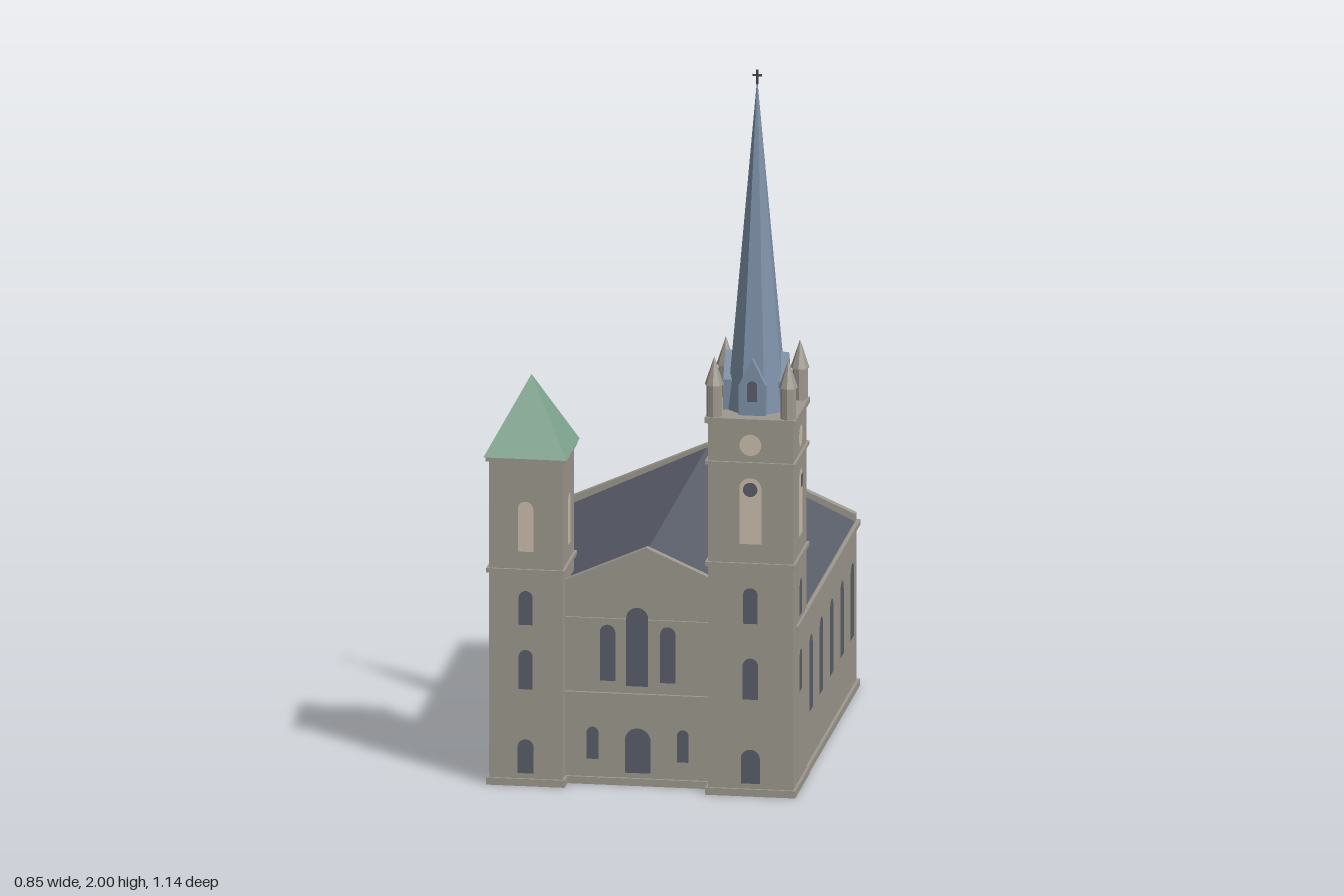
import * as THREE from 'three';

const mat = (name, color, flat = true) => {
  const m = new THREE.MeshStandardMaterial({ color, side: THREE.DoubleSide, flatShading: flat });
  m.name = name;
  return m;
};

export function createModel() {
  const stone = mat('stone', 0x9e998f);
  const slate = mat('slate', 0x595d68);
  const glass = mat('darkGlass', 0x5a5f6b);
  const blue = mat('spireBlue', 0x8093aa);
  const copper = mat('copperGreen', 0x7fa590);
  const cream = mat('cream', 0xcdbfae);
  const iron = mat('iron', 0x3f434c);

  const model = new THREE.Group();
  model.name = 'church';

  const add = (parent, name, geo, material, x = 0, y = 0, z = 0) => {
    const m = new THREE.Mesh(geo, material);
    m.name = name;
    m.position.set(x, y, z);
    parent.add(m);
    return m;
  };
  const group = (parent, name, x = 0, z = 0) => {
    const g = new THREE.Group();
    g.name = name;
    g.position.set(x, 0, z);
    parent.add(g);
    return g;
  };

  // four walls without floor or ceiling
  const walls = (parent, name, w, h, d) => {
    const geo = new THREE.BoxGeometry(w, h, d);
    const i = Array.from(geo.index.array);
    geo.setIndex([...i.slice(0, 12), ...i.slice(24)]);
    geo.clearGroups();
    return add(parent, name, geo, stone, 0, h / 2, 0);
  };
  // projecting ring around a rectangular wall
  const rect = (T, w, d) => {
    const s = new T();
    s.moveTo(-w / 2, -d / 2);
    s.lineTo(w / 2, -d / 2);
    s.lineTo(w / 2, d / 2);
    s.lineTo(-w / 2, d / 2);
    s.closePath();
    return s;
  };
  const band = (parent, name, w, d, y, h, out) => {
    const s = rect(THREE.Shape, w + 2 * out, d + 2 * out);
    s.holes.push(rect(THREE.Path, w - 0.004, d - 0.004));
    const geo = new THREE.ExtrudeGeometry(s, { depth: h, bevelEnabled: false });
    geo.rotateX(-Math.PI / 2);
    return add(parent, name, geo, stone, 0, y, 0);
  };
  // round-headed opening laid flat on a wall facing +z
  const arch = (parent, name, x, y0, y1, r, z, material = glass) => {
    const s = new THREE.Shape();
    s.moveTo(-r, y0);
    s.lineTo(r, y0);
    s.lineTo(r, y1 - r);
    s.absarc(0, y1 - r, r, 0, Math.PI, false);
    s.closePath();
    return add(parent, name, new THREE.ShapeGeometry(s, 8), material, x, 0, z);
  };
  const disc = (parent, name, y, r, z, material) =>
    add(parent, name, new THREE.CircleGeometry(r, 20), material, 0, y, z);
  // repeat a detail on all four sides
  const onSides = (parent, name, fn) => {
    for (let i = 0; i < 4; i++) {
      const g = group(parent, name);
      g.rotation.y = i * Math.PI / 2;
      fn(g, i);
    }
  };

  // ---- nave ----
  const W = 0.81, D = 1.06;
  const nave = group(model, 'nave', 0.006, -0.03);
  walls(nave, 'naveWalls', W, 0.47, D);
  band(nave, 'navePlinth', W, D, 0, 0.02, 0.008);
  band(nave, 'naveCornice', W, D, 0.452, 0.014, 0.01);

  for (const side of [1, -1]) {
    const g = group(nave, 'sideWindows');
    g.rotation.y = side * Math.PI / 2;
    for (let i = 0; i < 5; i++) {
      const z = 0.275 - i * 0.179;
      arch(g, 'naveWindow', -side * z, 0.16, 0.37, 0.03, W / 2 + 0.003);
    }
  }

  // pitched roof, open underneath
  const roof = new THREE.BufferGeometry();
  const rz = D / 2 - 0.01, rx = W / 2, ry = 0.466, rt = 0.656;
  roof.setAttribute('position', new THREE.Float32BufferAttribute([
    -rx, ry, -rz, -rx, ry, rz, 0, rt, rz, 0, rt, -rz,
    rx, ry, rz, rx, ry, -rz, 0, rt, -rz, 0, rt, rz], 3));
  roof.setIndex([0, 1, 2, 0, 2, 3, 4, 5, 6, 4, 6, 7]);
  roof.computeVertexNormals();
  add(nave, 'naveRoof', roof, slate);

  // gable parapets
  const gable = new THREE.Shape([[-rx, 0.46], [rx, 0.46], [rx, 0.487], [0, 0.666], [-rx, 0.487]]
    .map(p => new THREE.Vector2(...p)));
  for (const z of [D / 2 - 0.018, -D / 2 - 0.004])
    add(nave, 'gable', new THREE.ExtrudeGeometry(gable, { depth: 0.022, bevelEnabled: false }), stone, 0, 0, z);

  // entrance front between the towers
  const front = group(model, 'entranceFront', -0.018, 0.5);
  arch(front, 'mainDoor', 0, 0.035, 0.16, 0.035, 0.004);
  arch(front, 'tallWindow', 0, 0.28, 0.5, 0.03, 0.0125);
  for (const s of [1, -1]) {
    arch(front, 'sideDoor', s * 0.123, 0.07, 0.16, 0.016, 0.004);
    arch(front, 'frontWindow', s * 0.082, 0.29, 0.447, 0.021, 0.004);
  }
  add(front, 'frontString', new THREE.BoxGeometry(0.4, 0.01, 0.012), stone, 0, 0.252, 0.003);

  // ---- low tower with pyramid roof ----
  const low = group(model, 'lowTower', -0.316, 0.449);
  const lw = 0.2;
  walls(low, 'lowTowerWalls', lw, 0.915, lw);
  band(low, 'lowTowerPlinth', lw, lw, 0, 0.02, 0.007);
  band(low, 'lowTowerString', lw, lw, 0.594, 0.012, 0.007);
  band(low, 'lowTowerCornice', lw, lw, 0.904, 0.014, 0.008);
  const pyramid = new THREE.ConeGeometry(0.1135 * Math.SQRT2, 0.207, 4);
  pyramid.rotateY(Math.PI / 4);
  add(low, 'pyramidRoof', pyramid, copper, 0, 0.917 + 0.1035, 0);
  onSides(low, 'lowTowerFace', (g, i) => {
    const z = lw / 2 + 0.003;
    if (i === 0) arch(g, 'lowTowerDoor', 0, 0.035, 0.13, 0.022, z);
    arch(g, 'lowerWindow', 0, 0.27, 0.38, 0.019, z);
    arch(g, 'middleWindow', 0, 0.45, 0.545, 0.019, z);
    arch(g, 'louvre', 0, 0.655, 0.795, 0.021, z, cream);
  });

  // ---- tall tower ----
  const tall = group(model, 'tallTower', 0.298, 0.441);
  const tw = 0.232;
  walls(tall, 'tallTowerWalls', tw, 1.045, tw);
  band(tall, 'tallTowerPlinth', tw, tw, 0, 0.02, 0.007);
  band(tall, 'tallTowerString', tw, tw, 0.64, 0.012, 0.007);
  band(tall, 'clockString', tw, tw, 0.924, 0.01, 0.007);
  add(tall, 'parapet', new THREE.BoxGeometry(0.248, 0.016, 0.248), stone, 0, 1.048, 0);
  onSides(tall, 'tallTowerFace', (g, i) => {
    const z = tw / 2 + 0.003;
    if (i === 0) arch(g, 'tallTowerDoor', 0, 0.035, 0.13, 0.026, z);
    arch(g, 'lowerWindow', 0, 0.27, 0.385, 0.021, z);
    arch(g, 'middleWindow', 0, 0.482, 0.582, 0.02, z);
    arch(g, 'louvre', 0, 0.705, 0.89, 0.03, z, cream);
    disc(g, 'roundOpening', 0.858, 0.02, z + 0.003, glass);
    disc(g, 'clockFace', 0.982, 0.03, z, cream);
    for (const y of [0.634, 0.918])
      add(g, 'corbelTable', new THREE.BoxGeometry(0.165, 0.012, 0.008), stone, 0, y, tw / 2);
  });

  // corner pinnacles
  for (const sx of [1, -1]) for (const sz of [1, -1]) {
    const p = group(tall, 'pinnacle', sx * 0.101, sz * 0.101);
    add(p, 'pinnacleShaft', new THREE.CylinderGeometry(0.021, 0.021, 0.092, 8), stone, 0, 1.1, 0);
    add(p, 'pinnacleCap', new THREE.ConeGeometry(0.026, 0.078, 8), stone, 0, 1.183, 0);
  }

  // eight-sided spire with gabled dormers
  const spire = new THREE.ConeGeometry(0.084, 0.922, 8, 1);
  spire.rotateY(Math.PI / 8);
  add(tall, 'spire', spire, blue, 0, 1.056 + 0.461, 0);
  const dormer = new THREE.Shape([[-0.037, 1.056], [0.037, 1.056], [0.037, 1.14], [0, 1.214], [-0.037, 1.14]]
    .map(p => new THREE.Vector2(...p)));
  onSides(tall, 'dormer', g => {
    add(g, 'dormerBody', new THREE.ExtrudeGeometry(dormer, { depth: 0.055, bevelEnabled: false }), blue, 0, 0, 0.032);
    arch(g, 'dormerWindow', 0, 1.095, 1.153, 0.014, 0.09);
  });

  // cross at the tip
  add(tall, 'crossPost', new THREE.BoxGeometry(0.005, 0.04, 0.005), iron, 0, 1.98, 0);
  add(tall, 'crossArm', new THREE.BoxGeometry(0.026, 0.005, 0.005), iron, 0, 1.985, 0);

  return model;
}
